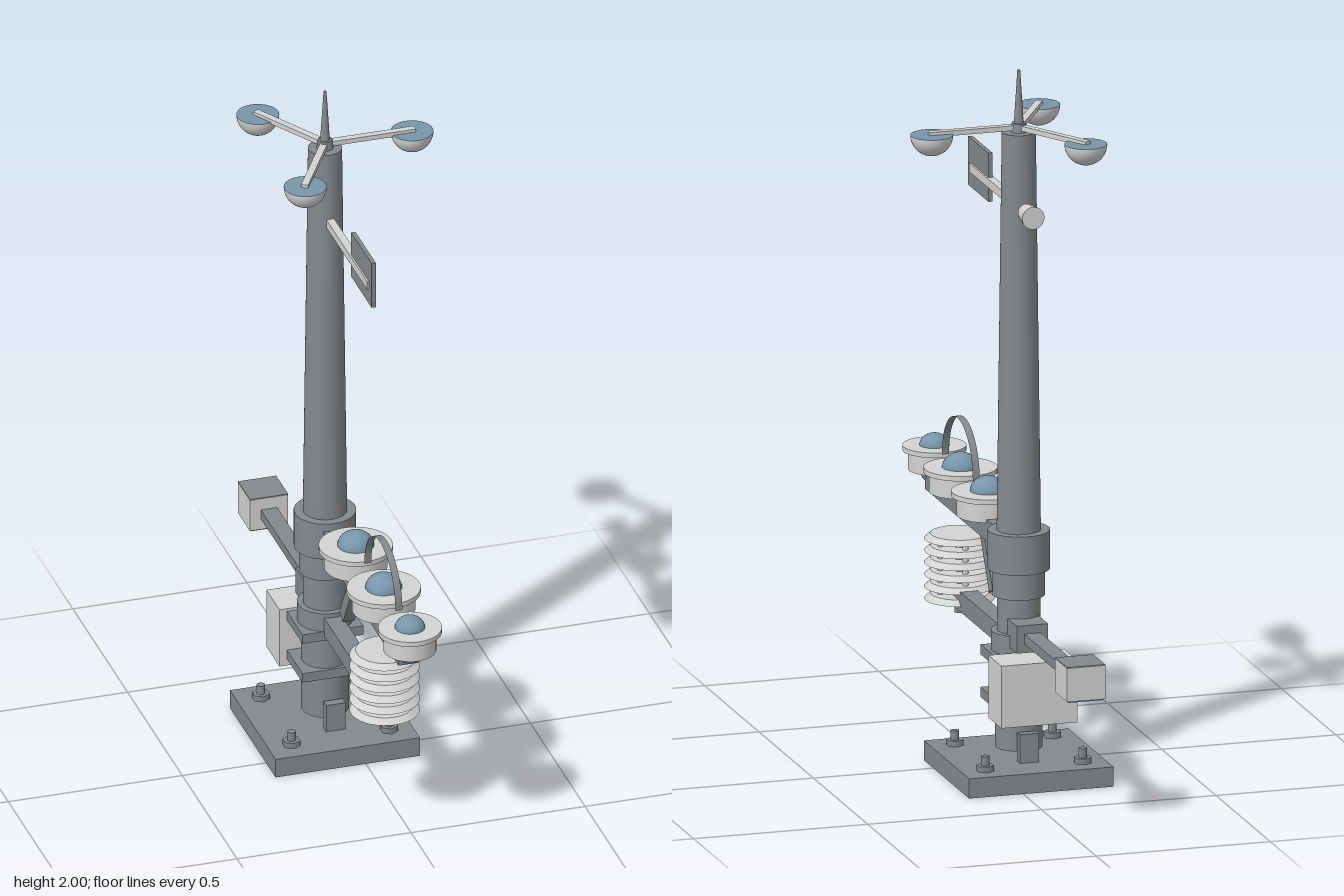
import * as THREE from 'three';

const mat = (name, color) => {
  const m = new THREE.MeshStandardMaterial({ color });
  m.name = name;
  return m;
};

export function createModel() {
  const steel = mat('steel grey', 0x85898c);
  const white = mat('light housing grey', 0xd2d3d3);
  const glass = mat('blue glass', 0x7796ab);
  const band = mat('shade band grey', 0x85898c);
  band.side = THREE.DoubleSide;

  const root = new THREE.Group();
  root.name = 'weatherStation';
  // everything is laid out around the mast axis, x = 0 in this group
  const station = new THREE.Group();
  station.name = 'station';
  station.position.x = -0.052;
  root.add(station);
  const MZ = -0.121;

  const add = (name, geo, material, x, y, z, parent = station) => {
    const m = new THREE.Mesh(geo, material);
    m.name = name;
    m.position.set(x, y, z);
    parent.add(m);
    return m;
  };
  // box given by its y and z limits
  const box = (name, material, w, y0, y1, z0, z1, x = 0, parent = station) =>
    add(name, new THREE.BoxGeometry(w, y1 - y0, z1 - z0), material, x, (y0 + y1) / 2, (z0 + z1) / 2, parent);
  // upright cylinder given by its y limits
  const cyl = (name, material, rTop, rBottom, y0, y1, x, z, seg = 32, parent = station) =>
    add(name, new THREE.CylinderGeometry(rTop, rBottom, y1 - y0, seg), material, x, (y0 + y1) / 2, z, parent);

  // base plate with anchor bolts and mast brackets
  box('basePlate', steel, 0.415, 0, 0.056, MZ - 0.208, MZ + 0.208);
  for (const sx of [-1, 1]) for (const sz of [-1, 1]) {
    cyl('anchorNut', steel, 0.025, 0.025, 0.056, 0.072, sx * 0.14, MZ + sz * 0.14, 6);
    cyl('anchorBolt', steel, 0.012, 0.012, 0.056, 0.098, sx * 0.14, MZ + sz * 0.14, 12);
  }
  for (const s of [-1, 1]) box('mastBracket', steel, 0.055, 0.056, 0.138, MZ + s * 0.086 - 0.013, MZ + s * 0.086 + 0.013);

  // mast sections and collars: top radius, bottom radius, y limits
  [
    ['lowerMast', 0.066, 0.066, 0.08, 0.345],
    ['lowerCollar', 0.077, 0.077, 0.34, 0.41],
    ['middleMast', 0.06, 0.06, 0.40, 0.52],
    ['neckCollar', 0.072, 0.072, 0.51, 0.59],
    ['upperCollar', 0.086, 0.086, 0.585, 0.695],
    ['upperMast', 0.047, 0.061, 0.69, 1.825],
    ['rotorHub', 0.02, 0.024, 1.82, 1.85],
    ['topSpike', 0.004, 0.014, 1.84, 2.0],
  ].forEach(([n, rt, rb, y0, y1]) => cyl(n, steel, rt, rb, y0, y1, 0, MZ));

  // equipment cabinet and its straps
  for (const y of [0.206, 0.327]) box('cabinetStrap', steel, 0.175, y, y + 0.028, MZ - 0.073, MZ + 0.073);
  box('cabinet', white, 0.218, 0.186, 0.363, -0.31, -0.19);

  // wind speed rotor with three cups
  for (let i = 0; i < 3; i++) {
    const arm = new THREE.Group();
    arm.name = 'rotorArm';
    arm.position.set(0, 0, MZ);
    arm.rotation.y = (i * Math.PI * 2) / 3;
    station.add(arm);
    add('spoke', new THREE.BoxGeometry(0.25, 0.014, 0.02), white, 0.133, 1.838, 0, arm);
    add('cup', new THREE.SphereGeometry(0.059, 32, 12, 0, Math.PI * 2, Math.PI / 2, Math.PI / 2),
      white, 0.25, 1.836, 0, arm);
    add('cupFace', new THREE.CircleGeometry(0.059, 32), glass, 0.25, 1.836, 0, arm).rotation.x = -Math.PI / 2;
  }

  // wind vane
  box('vaneRod', white, 0.022, 1.601, 1.626, -0.19, 0.3);
  box('vanePlate', steel, 0.012, 1.557, 1.695, 0.138, 0.325);
  add('vaneWeight', new THREE.CylinderGeometry(0.024, 0.032, 0.067, 24), white, 0, 1.613, -0.222)
    .rotation.x = Math.PI / 2;

  // upper boom carrying the light sensors
  box('upperBoom', steel, 0.06, 0.61, 0.672, MZ + 0.06, 0.645);
  const lightSensor = (z, r, dome, under) => {
    const g = new THREE.Group();
    g.name = 'lightSensor';
    g.position.z = z;
    station.add(g);
    cyl('sensorBody', white, r - 0.015, r - 0.015, 0.662, 0.72, 0, 0, 36, g);
    cyl('sensorRim', white, r, r, 0.717, 0.731, 0, 0, 36, g);
    const half = () => new THREE.SphereGeometry(dome, 28, 10, 0, Math.PI * 2, 0, Math.PI / 2);
    add('sensorDome', half(), glass, 0, 0.729, 0, g).scale.y = 0.84;
    if (under) add('lowerDome', half(), glass, 0, 0.664, 0, g).rotation.x = Math.PI;
  };
  lightSensor(0.16, 0.102, 0.051, false);
  lightSensor(0.415, 0.102, 0.051, false);
  lightSensor(0.655, 0.088, 0.042, true);

  // thin shade band arching over the middle sensor
  const arch = new THREE.CylinderGeometry(0.142, 0.142, 0.02, 32, 1, true, 0, Math.PI);
  arch.rotateZ(Math.PI / 2);
  arch.rotateX(0);
  arch.computeBoundingBox();
  if (arch.boundingBox.min.y < -0.1) arch.rotateX(Math.PI);
  add('shadeBand', arch, band, 0, 0.73, 0.412);

  // slanted probe under the upper boom
  add('slantedProbe', new THREE.BoxGeometry(0.034, 0.2, 0.036), steel, 0, 0.553, 0.132).rotation.x = 0.54;

  // lower boom with the louvred thermometer shield
  box('lowerBoom', steel, 0.05, 0.341, 0.397, MZ + 0.05, 0.43);
  cyl('shieldBolt', steel, 0.014, 0.014, 0.316, 0.35, 0, 0.425, 16);
  cyl('shieldCore', steel, 0.03, 0.03, 0.35, 0.53, 0, 0.425, 20);
  for (let i = 0; i < 6; i++) {
    const y = 0.356 + i * 0.034;
    cyl('shieldLouvre', white, 0.08, 0.097, y, y + 0.015, 0, 0.425, 36);
  }
  for (let i = 0; i < 4; i++) {
    const a = (i * Math.PI) / 2;
    cyl('shieldRod', white, 0.008, 0.008, 0.36, 0.53, Math.cos(a) * 0.055, 0.425 + Math.sin(a) * 0.055, 10);
  }

  // rear boom with its clamp and sensor box
  box('rearClamp', steel, 0.09, 0.377, 0.455, -0.247, -0.14);
  box('rearBoom', steel, 0.047, 0.403, 0.431, -0.64, -0.24);
  box('rearSensor', white, 0.11, 0.37, 0.464, -0.742, -0.632);
  box('rearSensorLid', steel, 0.11, 0.464, 0.468, -0.742, -0.632);
  box('rearSensorWindow', glass, 0.1, 0.366, 0.37, -0.737, -0.637);

  return root;
}
